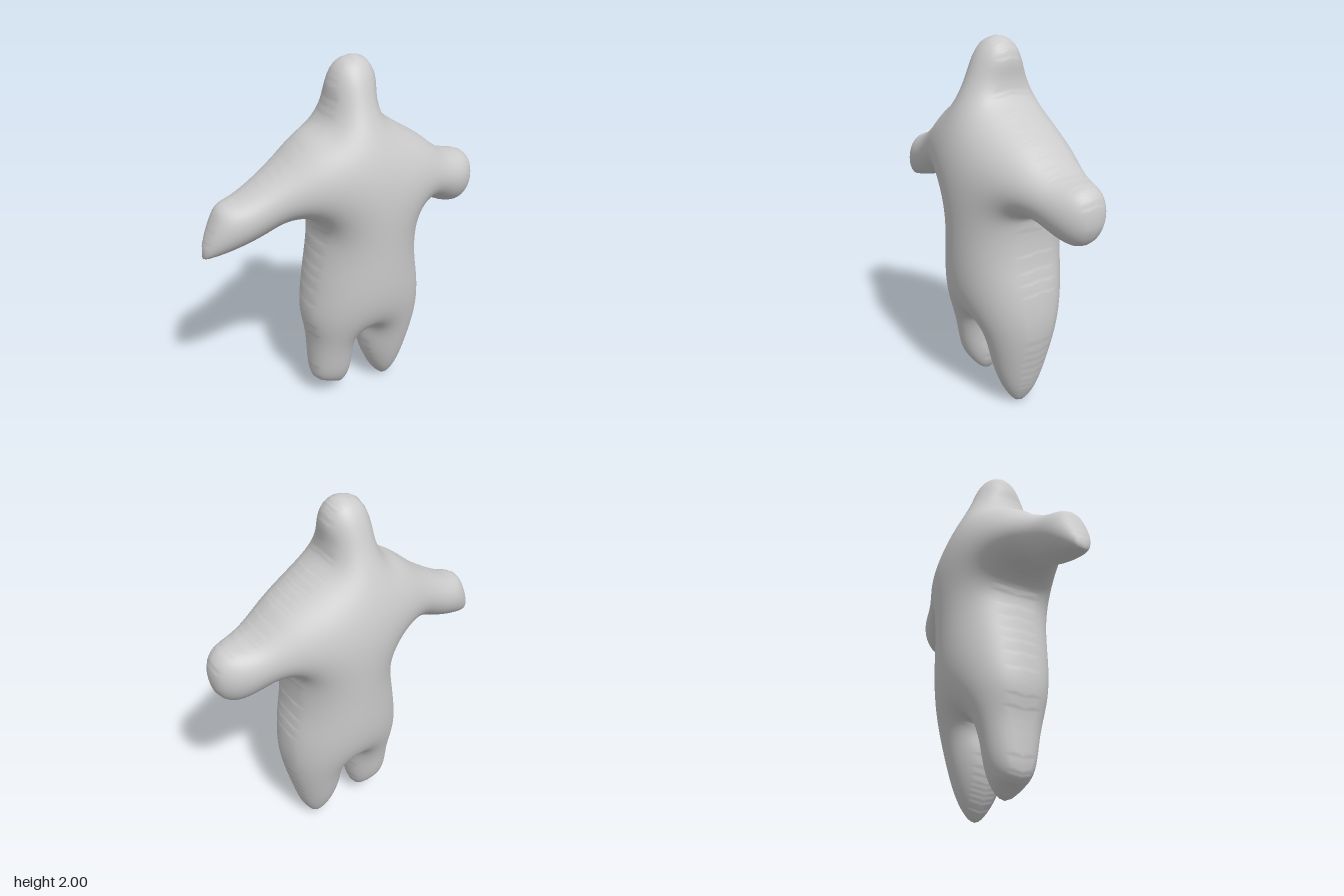
import * as THREE from 'three';

// Outline of the figure in the xy plane: head, right arm, right leg, left leg, left arm
const OUTLINE = [
  [0.01, 1.998], [-0.05, 1.965], [-0.09, 1.88], [-0.11, 1.77], [-0.15, 1.69], [-0.25, 1.63],
  [-0.40, 1.51], [-0.60, 1.39], [-0.70, 1.355], [-0.75, 1.27], [-0.80, 1.13], [-0.795, 1.09],
  [-0.75, 1.095], [-0.60, 1.13], [-0.48, 1.17], [-0.39, 1.21], [-0.30, 1.22], [-0.22, 1.185],
  [-0.19, 1.12], [-0.20, 1.0], [-0.235, 0.80], [-0.26, 0.60], [-0.235, 0.43], [-0.22, 0.17],
  [-0.19, 0.125], [-0.13, 0.10], [-0.05, 0.06], [-0.01, 0.10], [0.02, 0.20], [0.033, 0.36],
  [0.05, 0.45], [0.08, 0.48], [0.095, 0.44], [0.095, 0.33], [0.125, 0.20], [0.19, 0.07],
  [0.26, 0.002], [0.325, 0.08], [0.39, 0.28], [0.44, 0.545], [0.43, 0.73], [0.395, 0.915],
  [0.39, 1.07], [0.41, 1.165], [0.485, 1.165], [0.59, 1.12], [0.70, 1.10], [0.765, 1.14],
  [0.80, 1.23], [0.785, 1.34], [0.74, 1.39], [0.59, 1.43], [0.43, 1.545], [0.27, 1.645],
  [0.175, 1.72], [0.155, 1.79], [0.155, 1.895], [0.125, 1.965], [0.08, 1.998],
];
const H = 0.0125, X0 = -0.85, Y0 = -0.04, NX = 137, NY = 168; // sampling grid
const HALF_DEPTH = 0.32;

// Signed distance to the outline (positive inside) and the closest outline point
function nearest(poly, x, y) {
  let best = Infinity, cx = 0, cy = 0, inside = false;
  for (let i = 0, j = poly.length - 1; i < poly.length; j = i++) {
    const a = poly[j], b = poly[i], dx = b.x - a.x, dy = b.y - a.y;
    const t = THREE.MathUtils.clamp(((x - a.x) * dx + (y - a.y) * dy) / (dx * dx + dy * dy || 1), 0, 1);
    const px = a.x + t * dx, py = a.y + t * dy, d = (x - px) ** 2 + (y - py) ** 2;
    if (d < best) { best = d; cx = px; cy = py; }
    if ((a.y > y) !== (b.y > y) && x < a.x + (y - a.y) * dx / dy) inside = !inside;
  }
  return { d: Math.sqrt(best) * (inside ? 1 : -1), cx, cy };
}

// Squared thickness of the inflated outline: a membrane under pressure, held at the rim
function inflate(dist) {
  const u = new Float64Array(dist.length), steps = [1, -1, NX, -NX], cells = [];
  dist.forEach((d, n) => {
    if (d <= 0) return;
    let diag = 8 * H * H;
    for (const s of steps) {
      const e = dist[n + s];
      diag += e > 0 ? 1 : 1 / Math.max(0.05, d / (d - e));
    }
    cells.push([n, diag]);
  });
  for (let it = 0; it < 500; it++) {
    for (const [n, diag] of cells) {
      const sum = u[n + 1] + u[n - 1] + u[n + NX] + u[n - NX] + 2.5 * H * H;
      u[n] += 1.85 * (sum / diag - u[n]);
    }
  }
  return u;
}

function inflatedGeometry() {
  const curve = new THREE.CatmullRomCurve3(
    OUTLINE.map(([x, y]) => new THREE.Vector3(x, y, 0)), true, 'centripetal');
  const poly = curve.getPoints(300).slice(0, -1);

  const dist = new Float64Array(NX * NY), nodes = [];
  for (let j = 0; j < NY; j++) for (let i = 0; i < NX; i++) {
    const x = X0 + i * H, y = Y0 + j * H, { d, cx, cy } = nearest(poly, x, y);
    dist[j * NX + i] = d;
    // Grid points close to the outline move onto it
    const snap = Math.abs(d) < 0.3 * H;
    nodes.push(snap ? { x: cx, y: cy, d: 0 } : { x, y, d });
  }
  const u = inflate(dist);
  const scale = HALF_DEPTH / Math.sqrt(u.reduce((m, v) => Math.max(m, v), 0));

  const positions = [], index = [], made = new Map();
  // Front and back vertex numbers; rim vertices are shared by both sides
  function vertex(key, x, y, z) {
    if (!made.has(key)) {
      const f = positions.length / 3;
      positions.push(x, y, z);
      if (z > 0) positions.push(x, y, -z);
      made.set(key, [f, z > 0 ? f + 1 : f]);
    }
    return made.get(key);
  }
  // Clip a grid triangle to the outline and add it to both sides
  function addTriangle(ids) {
    if (!ids.some((n) => nodes[n].d > 0)) return;
    const ring = [];
    ids.forEach((n, k) => {
      const m = ids[(k + 1) % 3], a = nodes[n], b = nodes[m];
      if (a.d >= 0) ring.push(vertex(n, a.x, a.y, a.d > 0 ? scale * Math.sqrt(u[n]) : 0));
      if (a.d * b.d < 0) {
        const t = a.d / (a.d - b.d);
        const key = Math.min(n, m) + '_' + Math.max(n, m);
        ring.push(vertex(key, a.x + t * (b.x - a.x), a.y + t * (b.y - a.y), 0));
      }
    });
    for (let k = 1; k + 1 < ring.length; k++) {
      const [a, b, c] = [ring[0], ring[k], ring[k + 1]];
      index.push(a[0], b[0], c[0], a[1], c[1], b[1]);
    }
  }
  for (let j = 0; j < NY - 1; j++) for (let i = 0; i < NX - 1; i++) {
    const n = j * NX + i;
    addTriangle([n, n + 1, n + NX + 1]);
    addTriangle([n, n + NX + 1, n + NX]);
  }

  const geometry = new THREE.BufferGeometry();
  geometry.setAttribute('position', new THREE.Float32BufferAttribute(positions, 3));
  geometry.setIndex(index);
  geometry.computeVertexNormals();
  return geometry;
}

export function createModel() {
  const group = new THREE.Group();
  group.name = 'softFigure';
  // Head, arms, torso and legs are one continuous skin
  const body = new THREE.Mesh(inflatedGeometry(), new THREE.MeshStandardMaterial({ color: 0xcccccc }));
  body.name = 'body';
  group.add(body);
  return group;
}
